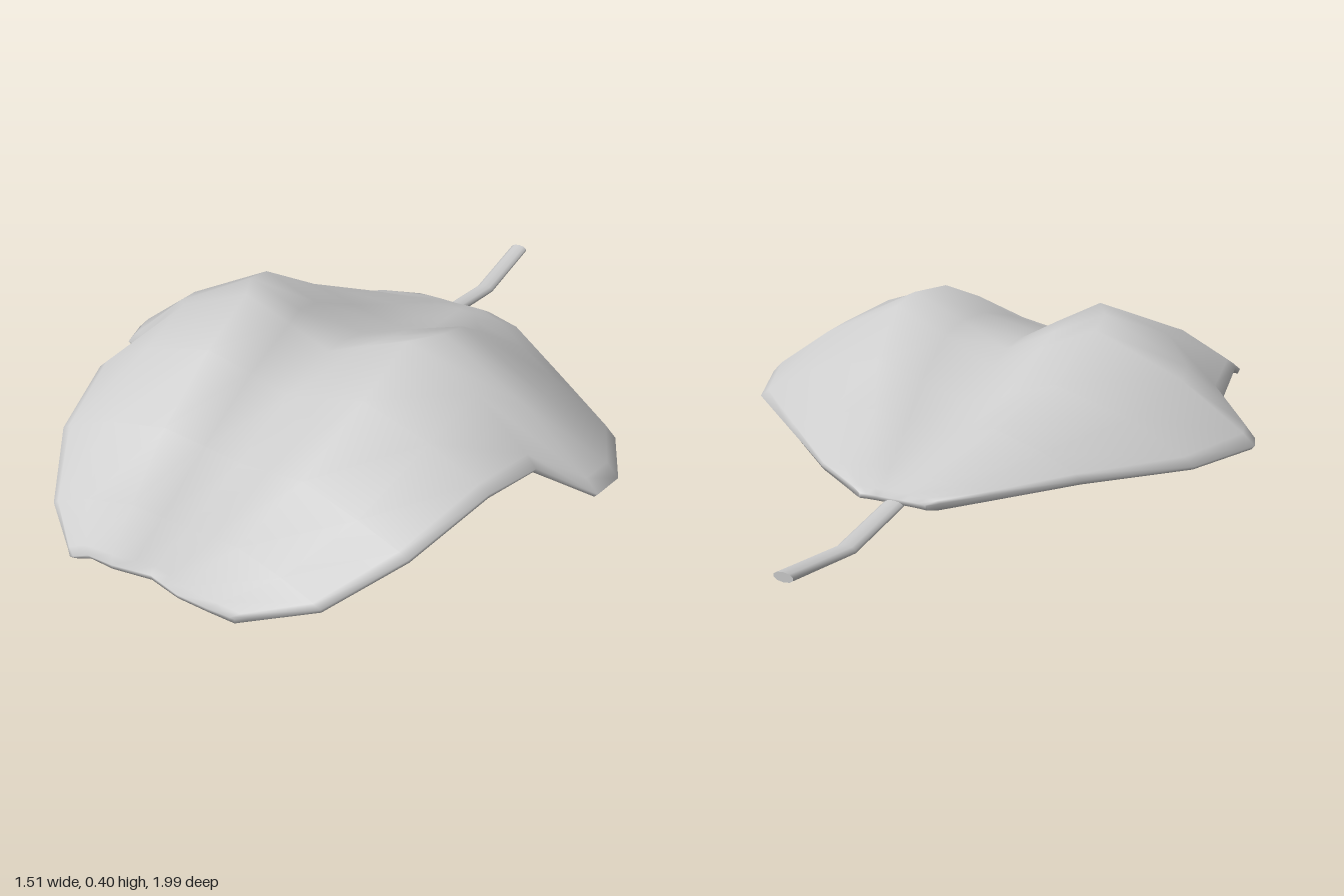
import * as THREE from 'three';

const MID_X = -0.035;      // the midrib runs slightly off centre
const HALF_THICK = 0.015;

// Stations from the stem end to the tip:
// [midrib z, midrib y, ridge y, shoulder y, left edge x, y, z, right edge x, y, z]
const STATIONS = [
  [-0.535, 0.055, 0.056, 0.056, 0.05, 0.055, -0.54, -0.14, 0.055, -0.535],
  [-0.45, 0.085, 0.085, 0.08, 0.21, 0.075, -0.46, -0.27, 0.075, -0.45],
  [-0.28, 0.13, 0.175, 0.135, 0.44, 0.08, -0.27, -0.43, 0.08, -0.27],
  [-0.13, 0.18, 0.255, 0.19, 0.67, 0.083, -0.08, -0.65, 0.085, -0.06],
  [0.03, 0.235, 0.365, 0.25, 0.75, 0.1, 0.1, -0.75, 0.095, 0.13],
  [0.12, 0.26, 0.385, 0.265, 0.73, 0.095, 0.18, -0.73, 0.09, 0.2],
  [0.2, 0.268, 0.392, 0.32, 0.6, 0.18, 0.27, -0.61, 0.16, 0.29],
  [0.38, 0.235, 0.32, 0.285, 0.575, 0.225, 0.47, -0.59, 0.195, 0.47],
  [0.6, 0.16, 0.21, 0.185, 0.49, 0.155, 0.69, -0.55, 0.13, 0.67],
  [0.81, 0.1, 0.125, 0.105, 0.36, 0.075, 0.855, -0.42, 0.065, 0.86],
  [0.96, 0.075, 0.085, 0.075, 0.21, 0.07, 0.975, -0.27, 0.04, 0.97],
];
const RIM = 0.95;
const ACROSS = [-1, -RIM, -0.72, -0.4, -0.2, 0, 0.2, 0.4, 0.72, RIM, 1];

const blend = (a, b, t) => a.map((v, i) => THREE.MathUtils.lerp(v, b[i], t));

// Point of the leaf's middle sheet at a station, u from -1 (right) to 1 (left)
function sheetPoint(s, u, bulge) {
  const [mz, my, ridge, shoulder] = s;
  const [ex, ey, ez] = u > 0 ? s.slice(4, 7) : s.slice(7, 10);
  const a = Math.abs(u), lerp = THREE.MathUtils.lerp;
  const keys = [[0, my], [0.4, ridge], [0.72, shoulder], [1, ey]];
  const k = a < 0.4 ? 0 : a < 0.72 ? 1 : 2;
  const t = (a - keys[k][0]) / (keys[k + 1][0] - keys[k][0]);
  const z = lerp(mz, ez, a) + bulge * Math.min(a / 0.4, (1 - a) / 0.6);
  return [lerp(MID_X, ex, a), lerp(keys[k][1], keys[k + 1][1], t), z];
}

// Thin closed blade: a sheet offset to both sides and stitched at its rim
function bladeGeometry() {
  const last = STATIONS.length - 1;
  const rows = [...STATIONS];
  rows.splice(last, 0, blend(STATIONS[last - 1], STATIONS[last], 0.85));
  rows.splice(1, 0, blend(STATIONS[0], STATIONS[1], 0.2));
  const R = rows.length, C = ACROSS.length, N = R * C;
  const id = (i, j) => i * C + j;

  const points = [], sheet = [];
  rows.forEach((s, i) => ACROSS.forEach((u) => {
    points.push(...sheetPoint(s, u, i >= R - 2 ? 0.022 : 0));
  }));
  for (let i = 0; i < R - 1; i++) {
    for (let j = 0; j < C - 1; j++) {
      const a = id(i, j), b = id(i + 1, j), c = id(i, j + 1), d = id(i + 1, j + 1);
      sheet.push(a, b, c, b, d, c);
    }
  }
  const middle = new THREE.BufferGeometry();
  middle.setAttribute('position', new THREE.Float32BufferAttribute(points, 3));
  middle.setIndex(sheet);
  middle.computeVertexNormals();
  const normals = middle.attributes.normal.array;

  // Upper and lower skins, thinner at the rim so that the edge looks rounded
  const skins = [];
  for (const side of [1, -1]) {
    for (let v = 0; v < N; v++) {
      const i = Math.floor(v / C), j = v % C;
      const rim = i === 0 || j === 0 || i === R - 1 || j === C - 1;
      const h = side * HALF_THICK * (rim ? 0.5 : 1);
      for (let k = 0; k < 3; k++) skins.push(points[v * 3 + k] + normals[v * 3 + k] * h);
    }
  }
  const index = [...sheet];
  for (let t = 0; t < sheet.length; t += 3) {
    index.push(sheet[t] + N, sheet[t + 2] + N, sheet[t + 1] + N);
  }

  // Rim walls
  const loop = [];
  for (let i = 0; i < R - 1; i++) loop.push(id(i, 0));
  for (let j = 0; j < C - 1; j++) loop.push(id(R - 1, j));
  for (let i = R - 1; i > 0; i--) loop.push(id(i, C - 1));
  for (let j = C - 1; j > 0; j--) loop.push(id(0, j));
  loop.forEach((p, n) => {
    const q = loop[(n + 1) % loop.length];
    index.push(q, p, p + N, q, p + N, q + N);
  });

  const blade = new THREE.BufferGeometry();
  blade.setAttribute('position', new THREE.Float32BufferAttribute(skins, 3));
  blade.setIndex(index);
  blade.computeVertexNormals();
  return blade;
}

// Flattened stalk that dips in the middle and lifts again at its end
function stemGeometry() {
  const g = new THREE.CylinderGeometry(0.027, 0.027, 0.5, 10, 2);
  g.rotateX(Math.PI / 2).scale(1, 0.45, 1).translate(-0.045, 0, -0.75);
  const p = g.attributes.position;
  for (let i = 0; i < p.count; i++) {
    p.setY(i, p.getY(i) + 0.014 + 0.15 * Math.abs(p.getZ(i) + 0.75));
  }
  g.computeVertexNormals();
  return g;
}

export function createModel() {
  const group = new THREE.Group();
  group.name = 'leaf';
  const material = new THREE.MeshStandardMaterial({ color: 0xcccccc });
  const add = (name, geometry) => {
    const mesh = new THREE.Mesh(geometry, material);
    mesh.name = name;
    group.add(mesh);
  };
  add('blade', bladeGeometry());
  add('stem', stemGeometry());
  return group;
}
